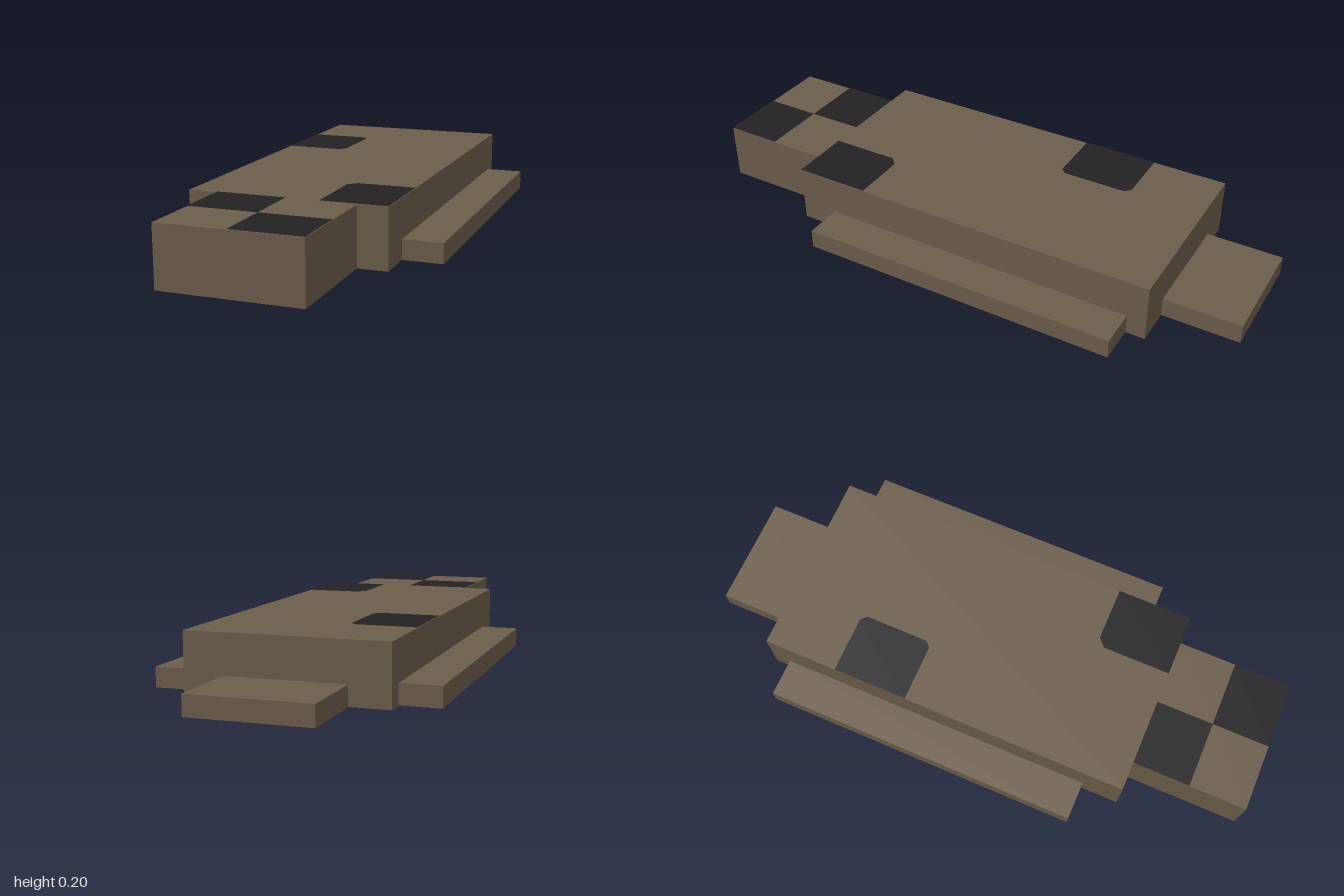
import * as THREE from 'three';

function mat(name, color) {
  const m = new THREE.MeshStandardMaterial({ color });
  m.name = name;
  return m;
}

export function createModel() {
  const group = new THREE.Group();
  const brown = mat('brown hide', 0x6a5d4a);
  const black = mat('black spots', 0x222222);
  const grey = mat('grey belly', 0x999999);

  // Box standing on y = 0, optionally with a differently coloured underside
  function slab(name, x0, x1, z0, z1, height, under = brown) {
    const geo = new THREE.BoxGeometry(x1 - x0, height, z1 - z0);
    const mesh = new THREE.Mesh(geo, [brown, brown, brown, under, brown, brown]);
    mesh.position.set((x0 + x1) / 2, height / 2, (z0 + z1) / 2);
    mesh.name = name;
    group.add(mesh);
  }

  // Flat patch just above the back, outlined by [x, z] corners
  function patch(name, corners) {
    const shape = new THREE.Shape(corners.map(([x, z]) => new THREE.Vector2(x, -z)));
    const mesh = new THREE.Mesh(new THREE.ShapeGeometry(shape).rotateX(-Math.PI / 2), black);
    mesh.position.y = 0.202;
    mesh.name = name;
    group.add(mesh);
  }

  // Trunk, head and tail
  slab('body', -0.333, 0.333, -0.733, 0.6, 0.2, grey);
  slab('head', -0.233, 0.233, 0.6, 1, 0.2, grey);
  slab('tail', -0.2, 0.2, -1, -0.733, 0.067);

  // Low side fins
  slab('leftFin', 0.333, 0.467, -0.667, 0.467, 0.067);
  slab('rightFin', -0.467, -0.333, -0.667, 0.467, 0.067);

  // Body spots with clipped inner corners
  patch('rearSpot', [[-0.333, -0.2], [-0.13, -0.2], [-0.111, -0.22],
    [-0.111, -0.447], [-0.13, -0.467], [-0.333, -0.467]]);
  patch('frontSpot', [[0.111, 0.6], [0.333, 0.6], [0.333, 0.333],
    [0.14, 0.333], [0.111, 0.36]]);

  // Chequered head patches
  patch('rightHeadPatch', [[-0.233, 0.8], [0, 0.8], [0, 0.6], [-0.233, 0.6]]);
  patch('leftHeadPatch', [[0, 1], [0.233, 1], [0.233, 0.8], [0, 0.8]]);

  return group;
}
